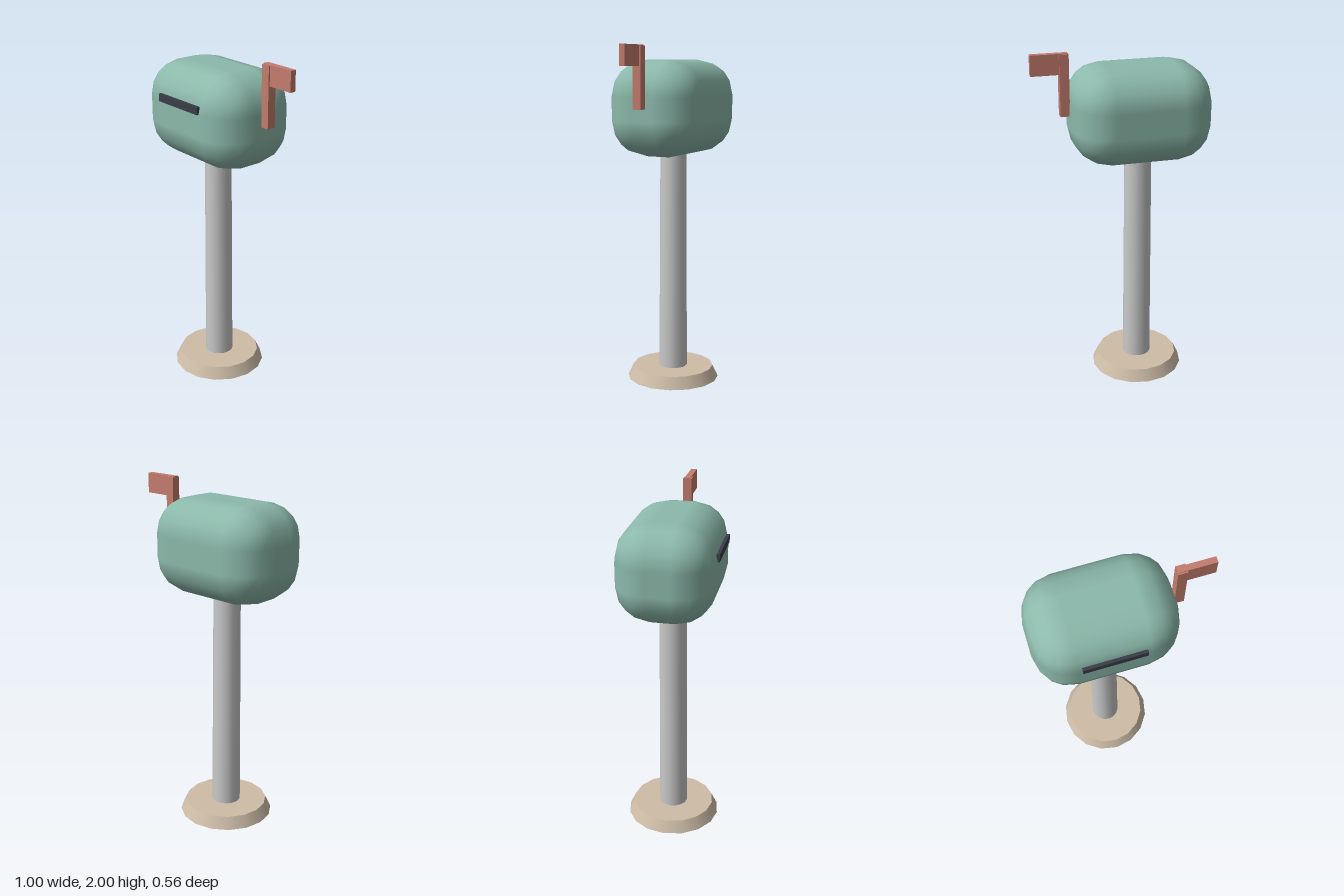
import * as THREE from 'three';
import { RoundedBoxGeometry } from 'three/addons/geometries/RoundedBoxGeometry.js';

const material = (name, color) => {
  const m = new THREE.MeshStandardMaterial({ color });
  m.name = name;
  return m;
};

export function createModel() {
  const group = new THREE.Group();
  group.name = 'mailbox';
  const green = material('sage green', 0x8cb9ab);
  const grey = material('light grey', 0xc9c9c9);
  const tan = material('tan', 0xcdbca7);
  const red = material('faded red', 0xc47c6d);
  const dark = material('dark slate', 0x3a3d49);

  // shared centre axis of base, post and box
  const cx = -0.106, cz = -0.006;

  const add = (name, geometry, mat, x, y, z) => {
    const mesh = new THREE.Mesh(geometry, mat);
    mesh.name = name;
    mesh.position.set(x, y, z);
    group.add(mesh);
  };

  // tapered foot and post
  add('base', new THREE.CylinderGeometry(0.243, 0.276, 0.07, 16), tan, cx, 0.035, cz);
  add('post', new THREE.CylinderGeometry(0.078, 0.085, 1.36, 16), grey, cx, 0.72, cz);

  // rounded box with the mail slot on its front
  add('box', new RoundedBoxGeometry(0.797, 0.552, 0.552, 2, 0.207), green, cx, 1.646, cz);
  add('slot', new THREE.BoxGeometry(0.345, 0.044, 0.018), dark, cx, 1.737, 0.271);

  // signal flag on the left side
  add('flagStem', new THREE.BoxGeometry(0.053, 0.345, 0.05), red, 0.3165, 1.8225, cz);
  add('flag', new THREE.BoxGeometry(0.209, 0.115, 0.034), red, 0.3955, 1.9425, cz);

  return group;
}
